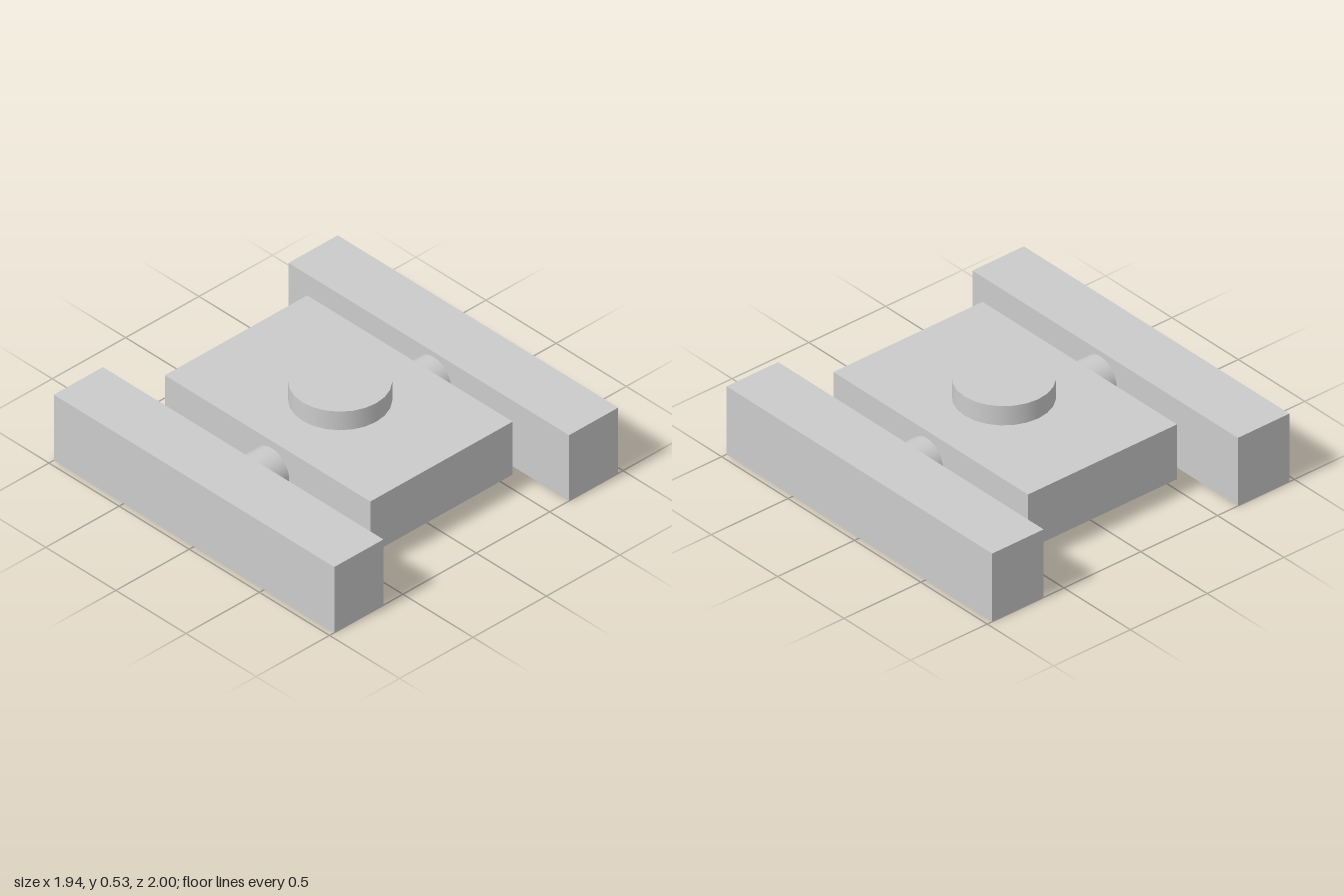
import * as THREE from 'three';

export function createModel() {
  const model = new THREE.Group();
  const material = new THREE.MeshStandardMaterial({ color: 0xcccccc });

  const add = (name, geometry, x, y, z) => {
    const mesh = new THREE.Mesh(geometry, material);
    mesh.name = name;
    mesh.position.set(x, y, z);
    model.add(mesh);
    return mesh;
  };

  // Long side rails resting on the ground
  for (const side of [-1, 1]) {
    add(side > 0 ? 'leftRail' : 'rightRail', new THREE.BoxGeometry(0.335, 0.4, 2), side * 0.8, 0.2, 0);
  }

  // Central slab, raised clear of the ground
  add('body', new THREE.BoxGeometry(0.97, 0.322, 1.465), 0.013, 0.252, 0.006);

  // Round axle running through the body from rail to rail
  const axle = add('axle', new THREE.CylinderGeometry(0.124, 0.124, 1.4, 24), 0, 0.246, 0.036);
  axle.rotation.z = Math.PI / 2;

  // Low disc on top
  add('topDisc', new THREE.CylinderGeometry(0.257, 0.257, 0.2, 24), 0.011, 0.426, 0.018);

  return model;
}
